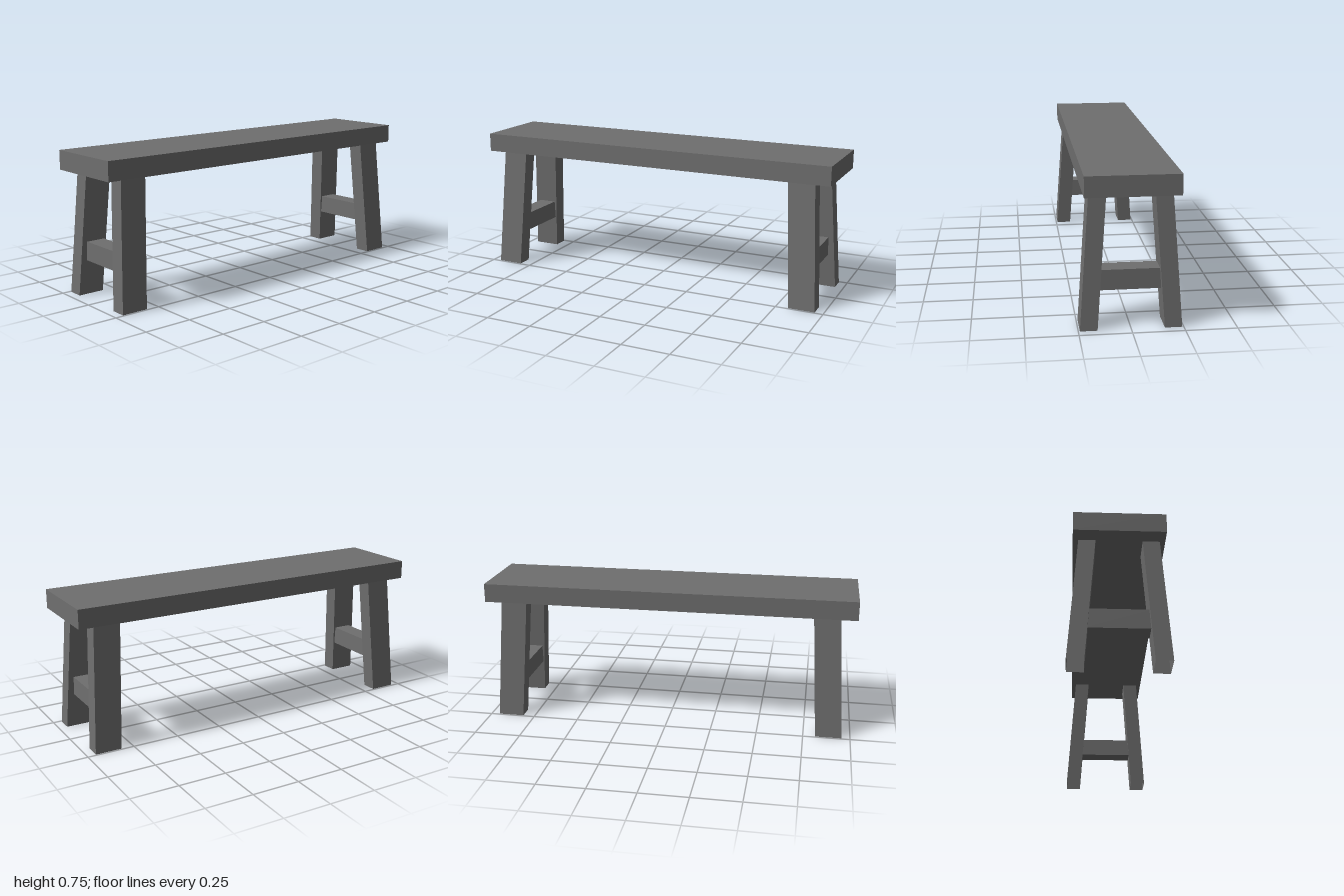
import * as THREE from 'three';

const LEG_H = 0.655, SPLAY_X = 0.046, SPLAY_Z = 0.04;
const material = new THREE.MeshStandardMaterial({ color: 0x6f6f6f, flatShading: true, side: THREE.DoubleSide });

function addBox(parent, name, w, h, d, x, y, z) {
  const mesh = new THREE.Mesh(new THREE.BoxGeometry(w, h, d), material);
  mesh.name = name;
  mesh.position.set(x, y, z);
  parent.add(mesh);
}

// Square tube, open at the ends, sheared outwards towards the floor
function legGeometry(sx, sz) {
  const g = new THREE.CylinderGeometry(Math.SQRT1_2, Math.SQRT1_2, LEG_H, 4, 1, true);
  g.rotateY(Math.PI / 4);
  g.scale(0.083, 1, 0.14);
  g.translate(0, LEG_H / 2, 0);
  const p = g.attributes.position;
  for (let i = 0; i < p.count; i++) {
    const t = p.getY(i) / LEG_H;
    p.setX(i, p.getX(i) + sx * (0.201 - SPLAY_X * t));
    p.setZ(i, p.getZ(i) + sz * (0.885 - SPLAY_Z * t));
  }
  g.computeVertexNormals();
  return g;
}

export function createModel() {
  const bench = new THREE.Group();
  bench.name = 'bench';

  // Plank seat
  addBox(bench, 'seat', 0.446, 0.1, 2, 0, 0.705, 0);

  // Two trestles: a pair of splayed legs joined by a stretcher
  for (const sz of [1, -1]) {
    const end = sz > 0 ? 'front' : 'back';
    for (const sx of [1, -1]) {
      const leg = new THREE.Mesh(legGeometry(sx, sz), material);
      leg.name = end + (sx > 0 ? 'Left' : 'Right') + 'Leg';
      bench.add(leg);
    }
    addBox(bench, end + 'Stretcher', 0.31, 0.1, 0.1, 0, 0.233, sz * 0.86);
  }
  return bench;
}
